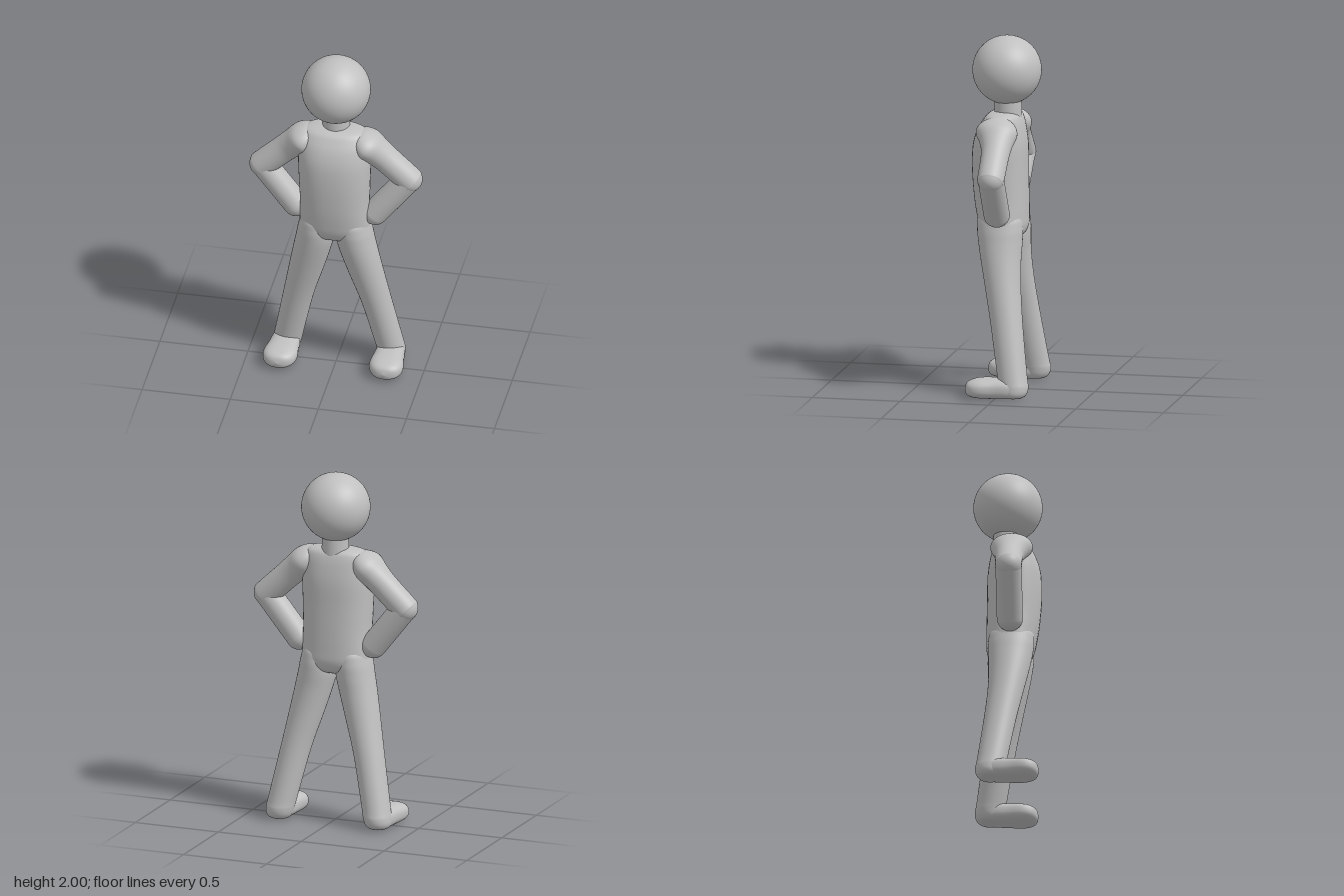
import * as THREE from 'three';

const AROUND = 40, STEPS = 5;

// Uniform Catmull-Rom through rows of numbers
function spline(p0, p1, p2, p3, t) {
  return p1.map((b, k) => {
    const a = p0[k], c = p2[k], d = p3[k];
    return 0.5 * (2 * b + (c - a) * t + (2 * a - 5 * b + 4 * c - d) * t * t + (3 * b - a - 3 * c + d) * t * t * t);
  });
}

// Smooth skin over superellipse sections [x, y, z, radiusU, radiusV].
// U x V points along the sections; side = -1 mirrors the part in x.
function loft(rows, U, V, power = 2, side = 1) {
  const rings = [];
  for (let i = 0; i < rows.length - 1; i++) {
    for (let s = 0; s < STEPS; s++) {
      rings.push(spline(rows[Math.max(i - 1, 0)], rows[i], rows[i + 1], rows[Math.min(i + 2, rows.length - 1)], s / STEPS));
    }
  }
  rings.push(rows[rows.length - 1]);

  const positions = [], index = [];
  const bend = (v) => Math.sign(v) * Math.abs(v) ** (2 / power);
  rings.forEach(([x, y, z, a, b], i) => {
    for (let j = 0; j < AROUND; j++) {
      const angle = (j / AROUND) * Math.PI * 2;
      const u = Math.max(a, 0) * bend(Math.cos(angle)), v = Math.max(b, 0) * bend(Math.sin(angle));
      positions.push(side * (x + u * U.x + v * V.x), y + u * U.y + v * V.y, z + u * U.z + v * V.z);
      if (i === rings.length - 1) continue;
      const p = i * AROUND + j, q = i * AROUND + (j + 1) % AROUND;
      const r = p + AROUND, t = q + AROUND;
      if (side > 0) index.push(p, q, r, q, t, r);
      else index.push(p, r, q, q, r, t);
    }
  });
  const geometry = new THREE.BufferGeometry();
  geometry.setAttribute('position', new THREE.Float32BufferAttribute(positions, 3));
  geometry.setIndex(index);
  geometry.computeVertexNormals();
  return geometry;
}

export function createModel() {
  const model = new THREE.Group();
  model.name = 'standingFigure';
  const grey = new THREE.MeshStandardMaterial({ color: 0xc0c0c0 });
  grey.name = 'lightGrey';

  const X = new THREE.Vector3(1, 0, 0), Y = new THREE.Vector3(0, 1, 0), Z = new THREE.Vector3(0, 0, 1);
  const add = (name, geometry, x = 0, y = 0, z = 0) => {
    const mesh = new THREE.Mesh(geometry, grey);
    mesh.name = name;
    mesh.position.set(x, y, z);
    model.add(mesh);
    return mesh;
  };

  // Head and neck
  add('head', new THREE.SphereGeometry(0.193, 64, 40), 0, 1.807, 0);
  add('neck', new THREE.CylinderGeometry(0.075, 0.077, 0.14, 40, 1, true), 0, 1.61, -0.006);

  // Torso, from the shoulders down to the crotch
  add('torso', loft([
    [0, 1.577, 0.01, 0, 0],
    [0, 1.574, 0.01, 0.10, 0.05],
    [0, 1.56, 0.015, 0.165, 0.085],
    [0, 1.53, 0.02, 0.19, 0.107],
    [0, 1.47, 0.03, 0.2, 0.132],
    [0, 1.38, 0.036, 0.204, 0.15],
    [0, 1.25, 0.037, 0.2, 0.153],
    [0, 1.1, 0.03, 0.195, 0.149],
    [0, 1.0, 0.022, 0.198, 0.142],
    [0, 0.93, 0.015, 0.197, 0.133],
    [0, 0.88, 0.012, 0.165, 0.108],
    [0, 0.855, 0.01, 0.09, 0.06],
    [0, 0.845, 0.01, 0, 0],
  ], X, Z, 2.3));

  // Upper arm runs from inside the shoulder to a rounded elbow
  const elbow = new THREE.Vector3(0.415, 1.265, 0.002);
  const armDir = new THREE.Vector3(0.73, -0.68, 0).normalize();
  const armUp = new THREE.Vector3().crossVectors(Z, armDir);
  const armRows = [
    // distance before the elbow, z, radius across, radius in depth
    [0.42, 0.02, 0, 0],
    [0.385, 0.02, 0.05, 0.08],
    [0.32, 0.02, 0.081, 0.118],
    [0.24, 0.01, 0.079, 0.093],
    [0.16, 0.004, 0.076, 0.079],
    [0, 0.002, 0.075, 0.075],
    [-0.03, 0.002, 0.069, 0.069],
    [-0.055, 0.002, 0.051, 0.051],
    [-0.07, 0.002, 0.027, 0.027],
    [-0.075, 0.002, 0, 0],
  ].map(([d, z, a, b]) => [elbow.x - d * armDir.x, elbow.y - d * armDir.y, z, a, b]);

  // Forearm is a capsule from the elbow to the hip
  const wrist = new THREE.Vector3(0.225, 1.027, 0.01);

  const legRows = [
    [0.1, 1.05, 0.02, 0, 0],
    [0.1, 1.0, 0.02, 0.08, 0.11],
    [0.105, 0.93, 0.017, 0.1, 0.128],
    [0.113, 0.85, 0.013, 0.108, 0.124],
    [0.135, 0.75, 0.005, 0.106, 0.113],
    [0.172, 0.6, -0.015, 0.098, 0.1],
    [0.222, 0.4, -0.047, 0.086, 0.09],
    [0.28, 0.13, -0.09, 0.081, 0.084],
    [0.292, 0.07, -0.1, 0.08, 0.084],
    [0.297, 0.03, -0.1, 0.073, 0.076],
    [0.297, 0.008, -0.1, 0.05, 0.05],
    [0.297, 0.003, -0.1, 0, 0],
  ];

  // Foot runs from heel to toe
  const footRows = [
    [0.297, 0.05, -0.17, 0, 0],
    [0.297, 0.053, -0.15, 0.055, 0.045],
    [0.297, 0.058, -0.08, 0.078, 0.057],
    [0.298, 0.058, 0, 0.086, 0.058],
    [0.301, 0.057, 0.08, 0.096, 0.056],
    [0.303, 0.055, 0.13, 0.083, 0.048],
    [0.303, 0.053, 0.16, 0.05, 0.033],
    [0.303, 0.052, 0.172, 0, 0],
  ];

  for (const [label, side] of [['left', 1], ['right', -1]]) {
    add(label + 'UpperArm', loft(armRows, armUp, Z, 2, side));

    const along = new THREE.Vector3().subVectors(wrist, elbow);
    const length = along.length();
    const middle = new THREE.Vector3().addVectors(wrist, elbow).multiplyScalar(0.5);
    along.x *= side;
    const forearm = add(label + 'Forearm', new THREE.CapsuleGeometry(0.073, length, 12, 40), side * middle.x, middle.y, middle.z);
    forearm.quaternion.setFromUnitVectors(Y, along.normalize());

    add(label + 'Leg', loft(legRows, X, Z, 2, side));
    add(label + 'Foot', loft(footRows, X, Y, 2.5, side));
  }
  return model;
}
